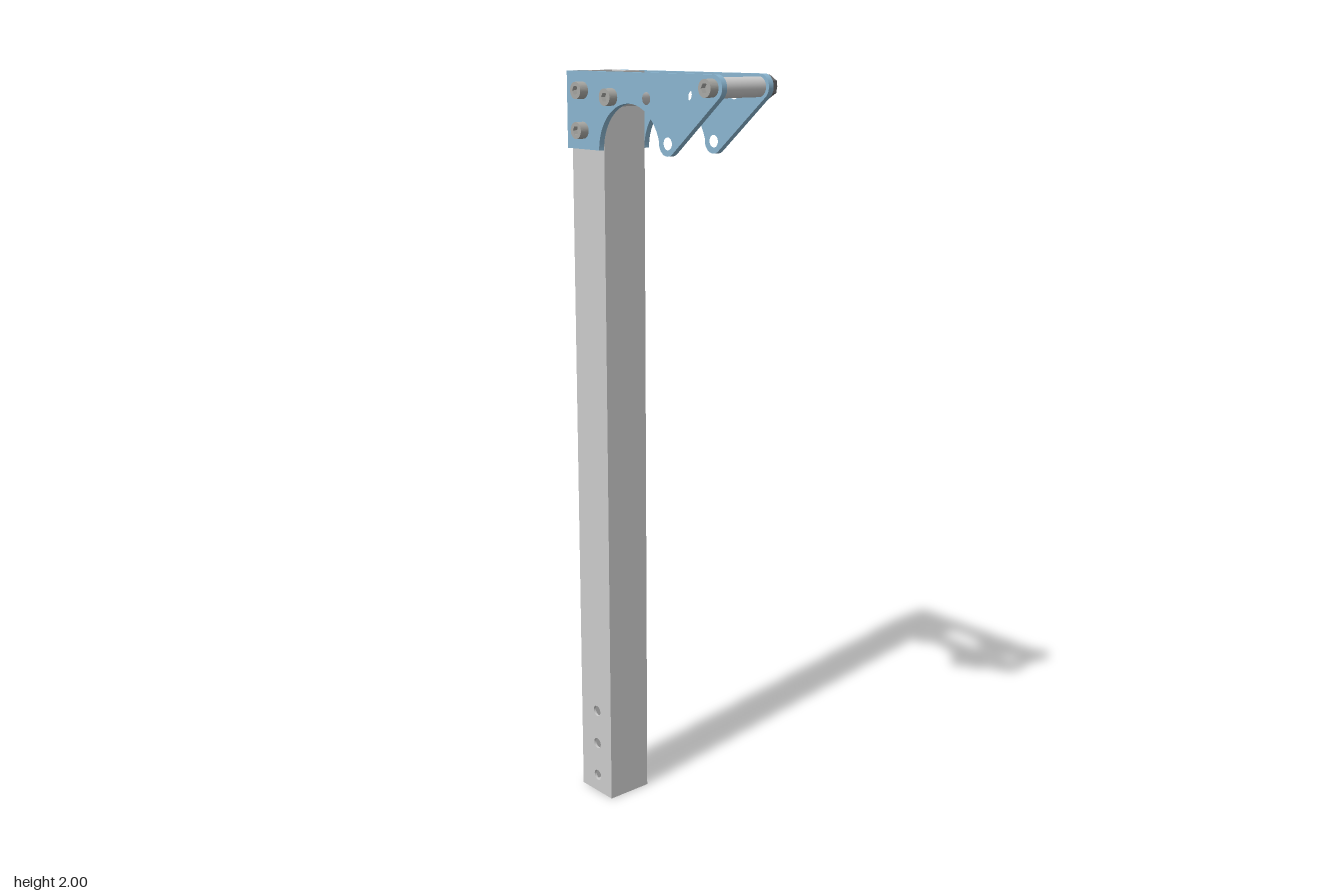
import * as THREE from 'three';

const paint = (color) => new THREE.MeshStandardMaterial({ color });
const grey = paint(0xcccccc), blue = paint(0x8ab5d0), dark = paint(0x666769);
const headGrey = paint(0xa9a9a5), boltEnd = paint(0xcfc8c0);

// Tube section in x and z, wall thickness, and bolt hole radius
const X0 = -0.071, X1 = 0.061, Z0 = -0.29, Z1 = -0.16, WALL = 0.007, HOLE = 0.015;
const PLATE = 0.0155;

function add(parent, name, geometry, material) {
  const mesh = new THREE.Mesh(geometry, material);
  mesh.name = name;
  parent.add(mesh);
  return mesh;
}

function punch(shape, holes, r) {
  for (const [z, y] of holes) shape.holes.push(new THREE.Path().absarc(z, y, r, 0, Math.PI * 2, true));
  return shape;
}

// Extrudes a (z, y) shape so that it fills x from a to b
function slab(shape, a, b, curveSegments = 24) {
  return new THREE.ExtrudeGeometry(shape, { depth: b - a, bevelEnabled: false, curveSegments })
    .rotateY(-Math.PI / 2).translate(b, 0, 0);
}

// Cylinder along x from a to b
function rod(a, b, r, sides = 32, rEnd = r) {
  return new THREE.CylinderGeometry(r, rEnd, b - a, sides)
    .rotateZ(Math.PI / 2).translate((a + b) / 2, 0, 0);
}

function polygon(points) {
  return new THREE.Shape(points.map(([x, y]) => new THREE.Vector2(x, y)));
}

// Hollow square post with three through holes near the foot
function createPost() {
  const post = new THREE.Group();
  post.name = 'post';
  const holes = [[-0.222, 0.05], [-0.222, 0.15], [-0.222, 0.25]];
  for (const [name, a] of [['postRightWall', X0], ['postLeftWall', X1 - WALL]]) {
    const wall = punch(polygon([[Z0, 0], [Z1, 0], [Z1, 2], [Z0, 2]]), holes, HOLE);
    add(post, name, slab(wall, a, a + WALL), grey);
  }
  for (const [name, z] of [['postBackWall', Z0 + WALL / 2], ['postFrontWall', Z1 - WALL / 2]]) {
    const wall = add(post, name, new THREE.BoxGeometry(X1 - X0 - 2 * WALL, 2, WALL), grey);
    wall.position.set((X0 + X1) / 2, 1, z);
  }
  return post;
}

// Side plate: rounded nose, lower lobe and arched cut-out
function plateShape() {
  const s = new THREE.Shape();
  const slope = -0.881;
  s.moveTo(Z0, 2);
  s.lineTo(0.26, 2);
  s.absarc(0.26, 1.97, 0.03, Math.PI / 2, slope, true);
  s.absarc(0.1, 1.838, 0.03, slope, -Math.PI, true);
  s.absarc(-0.043, 1.808, 0.118, 0.26, Math.PI, false);
  s.lineTo(Z0, 1.808);
  s.closePath();
  return punch(s, [[0.172, 1.954], [0.023, 1.94], [0.102, 1.838]], HOLE);
}

// Bolt across both plates: socket head, spacer, hex nut and protruding end
function createBolt(z, y, inset) {
  const bolt = new THREE.Group();
  bolt.name = 'bolt';
  bolt.position.set(0, y, z);
  add(bolt, 'spacer', rod(X0 + inset, X1 - inset, 0.0235), grey);

  const ring = new THREE.Shape().absarc(0, 0, 0.021, 0, Math.PI * 2, false);
  const hex = new THREE.Path();
  for (let i = 0; i < 6; i++) {
    const a = -i * Math.PI / 3;
    hex[i ? 'lineTo' : 'moveTo'](0.012 * Math.cos(a), 0.012 * Math.sin(a));
  }
  hex.closePath();
  ring.holes.push(hex);
  add(bolt, 'boltHead', slab(ring, -0.111, X0 - PLATE), headGrey);
  add(bolt, 'socketFloor', rod(-0.098, X0, 0.014), headGrey);

  const face = X1 + PLATE;
  add(bolt, 'nut', rod(face, 0.095, 0.0275, 6), dark).rotation.x = Math.PI / 6;
  // Chamfered outer rim of the nut
  add(bolt, 'nutRim', rod(0.095, 0.099, 0.0235, 6, 0.0275), dark).rotation.x = Math.PI / 6;
  bolt.children.slice(-2).forEach((m) => orientNut(m));
  add(bolt, 'boltEnd', rod(face, 0.11, 0.011, 24), boltEnd);
  return bolt;
}

// Turns a hex part so a corner points up and its sides stay flat shaded
function orientNut(mesh) {
  mesh.geometry.computeBoundingBox();
  const { min, max } = mesh.geometry.boundingBox;
  const cornerUp = max.y - min.y > max.z - min.z;
  mesh.rotation.x = cornerUp ? 0 : Math.PI / 6;
  if (mesh.name === 'nutRim') {
    // Wide end of the rim meets the nut
    const p = mesh.geometry.attributes.position;
    for (let i = 0; i < p.count; i++) {
      const r = Math.hypot(p.getY(i), p.getZ(i));
      if (r < 0.001) continue;
      const k = (p.getX(i) < 0.097 ? 0.0275 : 0.0235) / r;
      p.setY(i, p.getY(i) * k);
      p.setZ(i, p.getZ(i) * k);
    }
  }
  mesh.geometry = mesh.geometry.toNonIndexed();
  mesh.geometry.computeVertexNormals();
}

export function createModel() {
  const model = new THREE.Group();
  model.name = 'bracketPost';
  model.add(createPost());
  add(model, 'rightPlate', slab(plateShape(), X0 - PLATE, X0), blue);
  add(model, 'leftPlate', slab(plateShape(), X1, X1 + PLATE), blue);
  // Bolts through the post sit inside its walls; the others span the plates
  const bolts = [[0.257, 1.97, 0], [-0.108, 1.94, 0], [-0.224, 1.953, WALL], [-0.224, 1.855, WALL]];
  for (const [z, y, inset] of bolts) model.add(createBolt(z, y, inset));
  return model;
}
